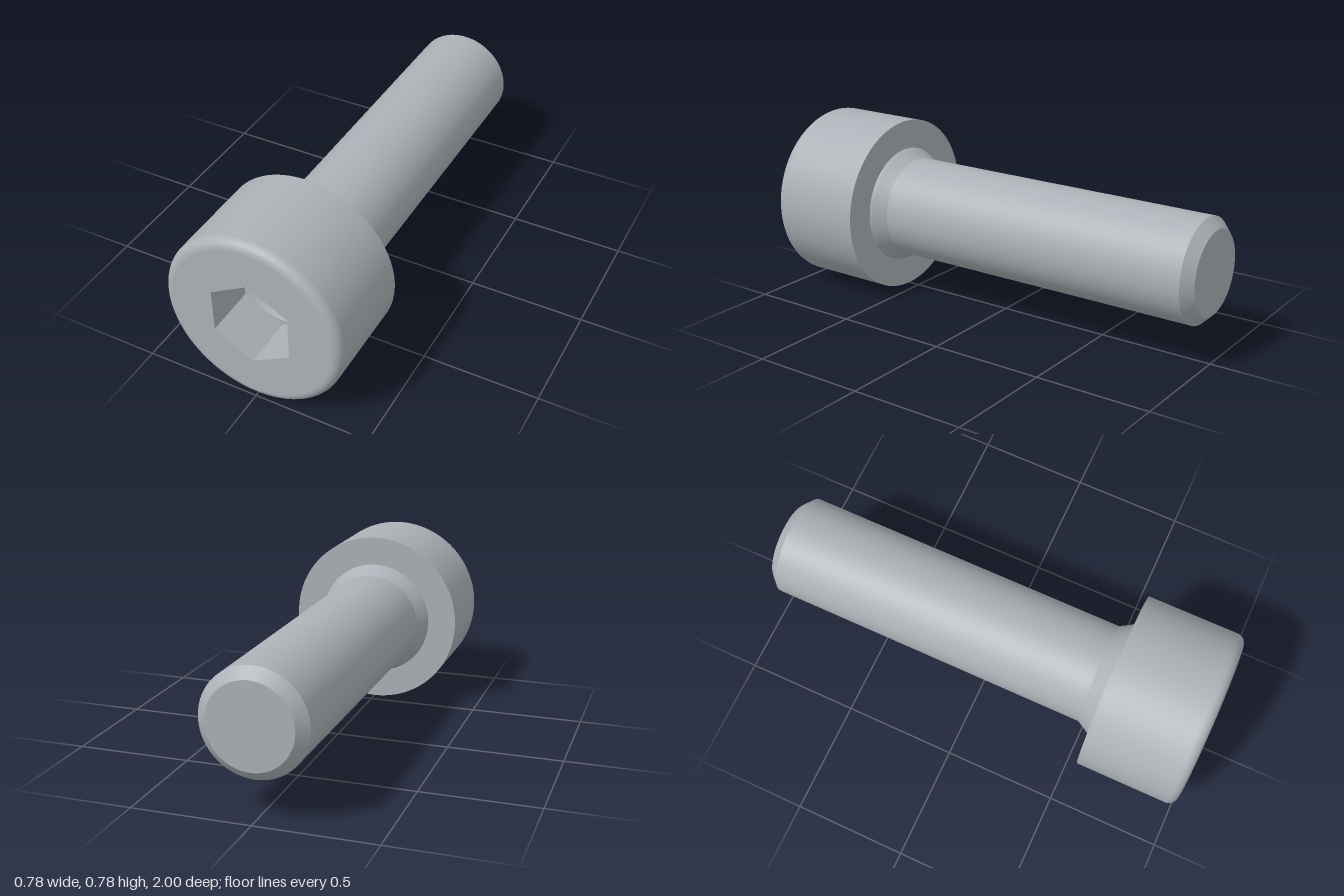
import * as THREE from 'three';

const SEG = 96;
const HEAD_R = 0.389, SHANK_R = 0.222, HEAD_BACK = 0.556, FILLET = 0.04;
const HEX_R = 0.193, DRILL_R = 0.1665, SOCKET_Z = 0.778, TIP_Z = 0.682;

export function createModel() {
  const bolt = new THREE.Group();
  bolt.name = 'socketHeadBolt';
  const steel = new THREE.MeshStandardMaterial({ color: 0xabb1b6 });
  steel.name = 'steel grey';

  const add = (name, geometry) => {
    const mesh = new THREE.Mesh(geometry, steel);
    mesh.name = name;
    bolt.add(mesh);
  };

  // Surface of revolution about z from [radius, z] pairs
  const turned = (points, sides = SEG) =>
    new THREE.LatheGeometry(points.map(([r, z]) => new THREE.Vector2(r, z)), sides).rotateX(Math.PI / 2);

  // Hexagon with corners at top and bottom
  const hexPoints = Array.from({ length: 6 }, (_, i) => {
    const a = Math.PI / 6 + (i * Math.PI) / 3;
    return new THREE.Vector2(HEX_R * Math.cos(a), HEX_R * Math.sin(a));
  });

  // Shank, split at the sharp edges
  add('shankEnd', turned([[0, -1], [0.178, -1]]));
  add('shankChamfer', turned([[0.178, -1], [SHANK_R, -0.957]]));
  add('shank', turned([[SHANK_R, -0.957], [SHANK_R, 0.489]]));
  add('neck', turned([[SHANK_R, 0.489], [0.235, 0.512], [0.248, 0.534], [0.256, 0.546], [0.26, HEAD_BACK]]));

  // Head: flat underside, then side wall running smoothly into the rounded rim
  add('headUnderside', turned([[0.26, HEAD_BACK], [HEAD_R, HEAD_BACK]]));
  const rim = [[HEAD_R, HEAD_BACK], [HEAD_R, 0.95]];
  for (let i = 0; i <= 8; i++) {
    const a = (i / 8) * Math.PI / 2;
    rim.push([HEAD_R - FILLET + FILLET * Math.cos(a), 1 - FILLET + FILLET * Math.sin(a)]);
  }
  add('headSide', turned(rim));

  // Front face with the hexagonal opening
  const face = new THREE.Shape().absarc(0, 0, HEAD_R - FILLET, 0, Math.PI * 2);
  face.holes.push(new THREE.Path(hexPoints));
  add('headFace', new THREE.ShapeGeometry(face, SEG / 2).translate(0, 0, 1));

  // Socket: flat walls, floor corners and the conical drill point
  const walls = turned([[HEX_R, 1], [HEX_R, SOCKET_Z]], 6).toNonIndexed();
  walls.computeVertexNormals();
  add('socketWalls', walls);
  const floor = new THREE.Shape(hexPoints);
  floor.holes.push(new THREE.Path().absarc(0, 0, DRILL_R, 0, Math.PI * 2, true));
  add('socketFloor', new THREE.ShapeGeometry(floor, SEG / 2).translate(0, 0, SOCKET_Z));
  add('socketCone', turned([[DRILL_R, SOCKET_Z], [0, TIP_Z]]));

  bolt.position.y = HEAD_R;
  return bolt;
}
